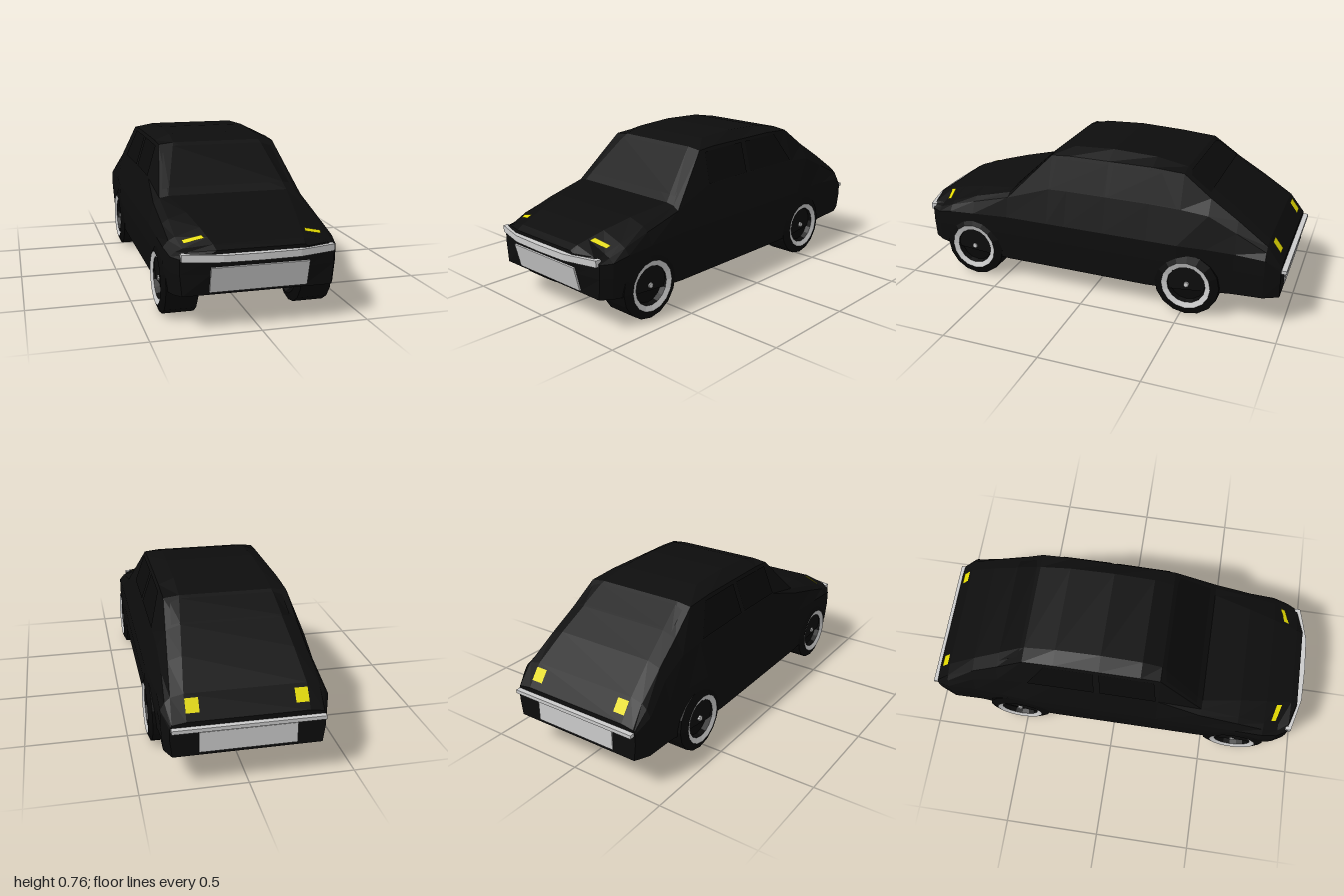
import * as THREE from 'three';

const paint = new THREE.MeshStandardMaterial({ color: 0x0d0d0d, flatShading: true });
const glass = new THREE.MeshStandardMaterial({ color: 0x0a0a0a, flatShading: true, side: THREE.DoubleSide });
const rubber = new THREE.MeshStandardMaterial({ color: 0x080808, flatShading: true });
const metal = new THREE.MeshStandardMaterial({ color: 0xcccccc, flatShading: true });
const lamp = new THREE.MeshStandardMaterial({ color: 0xe6dc00, flatShading: true, side: THREE.DoubleSide });

// Piecewise linear curve along the car, from [z, value] knots running nose to tail
const along = (...knots) => (z) => {
  let i = 0;
  while (i < knots.length - 2 && knots[i + 1][0] > z) i++;
  const [[z0, a], [z1, b]] = [knots[i], knots[i + 1]];
  return a + (b - a) * (z0 - z) / (z0 - z1);
};

// Centre line of bonnet, roof and tail; each knot is also a body station
const outline = [
  [.97, .37], [.935, .388], [.88, .405], [.8, .43], [.66, .465], [.46, .5], [.23, .722], [.13, .75],
  [-.08, .76], [-.31, .75], [-.47, .72], [-.61, .63], [-.75, .54], [-.9, .43], [-.975, .33],
];
const topY = along(...outline);
const topX = along([.97, .2], [.66, .26], [.46, .3], [.23, .225], [-.47, .225], [-.9, .28], [-.975, .28]);
const edgeX = along([.97, .215], [.935, .32], [.8, .345], [.46, .345], [.23, .3], [-.47, .3], [-.9, .34], [-.975, .345]);
const edgeDrop = along([.97, .01], [.9, .045], [.46, .008], [-.47, .01], [-.65, .025], [-.975, .01]);
const beltRise = along([.97, .6], [.46, .84], [.23, .51], [-.47, .51], [-.61, .68], [-.975, .6]);
const waistX = along([.97, .22], [.935, .355], [.88, .385], [.8, .4], [-.47, .4], [-.75, .38], [-.9, .385], [-.975, .355]);
const waistY = along([.97, .33], [.88, .33], [.8, .35], [.46, .37], [-.61, .37], [-.9, .36], [-.975, .3]);
const sillY = along([.97, .165], [.5, .123], [-.36, .12], [-.975, .16]);

// Ring of 12 points: sill, low side, waist, belt, upper edge, top, then mirrored
const rings = outline.map(([z], i) => {
  const lerp = THREE.MathUtils.lerp;
  const [wx, wy, ex, sy] = [waistX(z), waistY(z), edgeX(z), sillY(z)];
  const ey = Math.min(topY(z) - edgeDrop(z), .72);
  const half = [
    [wx - .01, sy], [wx, lerp(sy, wy, .6)], [wx, wy],
    [lerp(wx, ex, .45), lerp(wy, ey, beltRise(z))], [ex, ey], [topX(z), topY(z)],
  ];
  // The nose leans back towards its bottom edge
  const pts = half.map(([x, y]) => new THREE.Vector3(x, y, i === 0 ? z - Math.max(0, .3 - y) * .25 : z));
  return [...pts, ...pts.map((p) => new THREE.Vector3(-p.x, p.y, p.z)).reverse()];
});

function bufferFrom(points, index) {
  const g = new THREE.BufferGeometry().setFromPoints(points);
  g.setIndex(index);
  g.computeVertexNormals();
  return g;
}

function bodyGeometry() {
  const n = 12, index = [], last = (rings.length - 1) * n;
  for (let i = 0; i < rings.length - 1; i++) {
    for (let j = 0; j < n; j++) {
      const a = i * n + j, b = i * n + (j + 1) % n, c = b + n, d = a + n;
      index.push(a, d, c, a, c, b);
    }
  }
  // Nose and tail caps
  for (let j = 0; j < 5; j++) {
    const [a, b, c, d] = [j, j + 1, 10 - j, 11 - j];
    index.push(a, b, c, a, c, d);
    index.push(last + a, last + c, last + b, last + a, last + d, last + c);
  }
  return bufferFrom(rings.flat(), index);
}

// Point on the body at depth z and ring position c, lifted slightly outwards
function onBody(z, c, lift) {
  let i = 0;
  while (i < outline.length - 2 && outline[i + 1][0] > z) i++;
  const t = (outline[i][0] - z) / (outline[i][0] - outline[i + 1][0]);
  const j = Math.min(Math.floor(c), 10);
  const p = rings[i][j].clone().lerp(rings[i][j + 1], c - j);
  p.lerp(rings[i + 1][j].clone().lerp(rings[i + 1][j + 1], c - j), t);
  p.z = z;
  p.y += lift;
  if (c <= 4 || c >= 7) p.x += Math.sign(p.x) * lift;
  return p;
}

// Strip lying on the body; rows are [ring position, front z, back z]
function panel(name, material, rows, lift = .004) {
  const pts = rows.flatMap(([c, z0, z1]) => [onBody(z0, c, lift), onBody(z1, c, lift)]);
  const index = [];
  for (let k = 0; k < rows.length - 1; k++) {
    const a = 2 * k;
    index.push(a, a + 1, a + 3, a, a + 3, a + 2);
  }
  return mesh(name, bufferFrom(pts, index), material);
}

function mesh(name, geometry, material, x = 0, y = 0, z = 0) {
  const m = new THREE.Mesh(geometry, material);
  m.name = name;
  m.position.set(x, y, z);
  return m;
}

const lathe = (pts) => new THREE.LatheGeometry(pts.map(([r, h]) => new THREE.Vector2(r, h)), 16);

function wheel(name, side, z) {
  const g = new THREE.Group();
  g.name = name;
  g.add(mesh('tyre', lathe([[0, .26], [.1, .26], [.125, .23], [.165, .245], [.165, .393], [.125, .41]]), rubber));
  g.add(mesh('whitewallRing', lathe([[.125, .41], [.098, .4]]), metal));
  g.add(mesh('wheelDish', lathe([[.098, .4], [.09, .375], [0, .375]]), rubber));
  g.add(mesh('hubCap', new THREE.CylinderGeometry(.013, .015, .025, 8), metal, 0, .387, 0));
  g.position.set(0, .165, z);
  g.rotation.z = -side * Math.PI / 2;
  return g;
}

export function createModel() {
  const car = new THREE.Group();
  car.name = 'car';
  car.add(mesh('body', bodyGeometry(), paint));

  // Glass
  car.add(panel('windscreen', glass, [[4.3, .43, .26], [5, .43, .25], [6, .43, .25], [6.7, .43, .26]]));
  car.add(panel('rearWindow', glass, [[4.4, -.5, -.6], [5, -.49, -.605], [6, -.49, -.605], [6.6, -.5, -.6]]));

  for (const side of [1, -1]) {
    const label = side > 0 ? 'left' : 'right';
    const flip = (rows) => rows.map(([c, a, b]) => [side > 0 ? c : 11 - c, a, b]);
    car.add(panel(label + 'FrontWindow', glass, flip([[3.02, .22, -.07], [3.9, .2, -.08]])));
    car.add(panel(label + 'RearWindow', glass, flip([[3.02, -.1, -.45], [3.9, -.11, -.36]])));
    // Lamps
    car.add(panel(label + 'Headlamp', lamp, flip([[4.12, .862, .838], [4.85, .885, .858]]), .006));
    car.add(panel(label + 'TailLamp', lamp, flip([[5.001, -.915, -.955], [5.11, -.915, -.955]]), .006));
    // Wheels
    car.add(wheel(label + 'FrontWheel', side, .665));
    car.add(wheel(label + 'RearWheel', side, -.525));
  }

  // Front bumper, swept back towards its ends
  const bar = new THREE.BoxGeometry(.70, .032, .03, 8, 1, 1);
  const p = bar.attributes.position;
  for (let i = 0; i < p.count; i++) {
    const x = Math.abs(p.getX(i));
    p.setZ(i, p.getZ(i) - .01 * x / .35 - .04 * Math.max(0, (x - .18) / .17));
  }
  bar.computeVertexNormals();
  car.add(mesh('frontBumper', bar, metal, 0, .338, .985));
  car.add(mesh('rearBumper', new THREE.BoxGeometry(.70, .018, .03), metal, 0, .298, -.985));

  // Number plates
  const front = mesh('frontPlate', new THREE.BoxGeometry(.45, .123, .008), metal, 0, .235, .957);
  front.rotation.x = Math.atan(.25);
  car.add(front);
  car.add(mesh('rearPlate', new THREE.BoxGeometry(.45, .1, .008), metal, 0, .225, -.976));
  return car;
}
